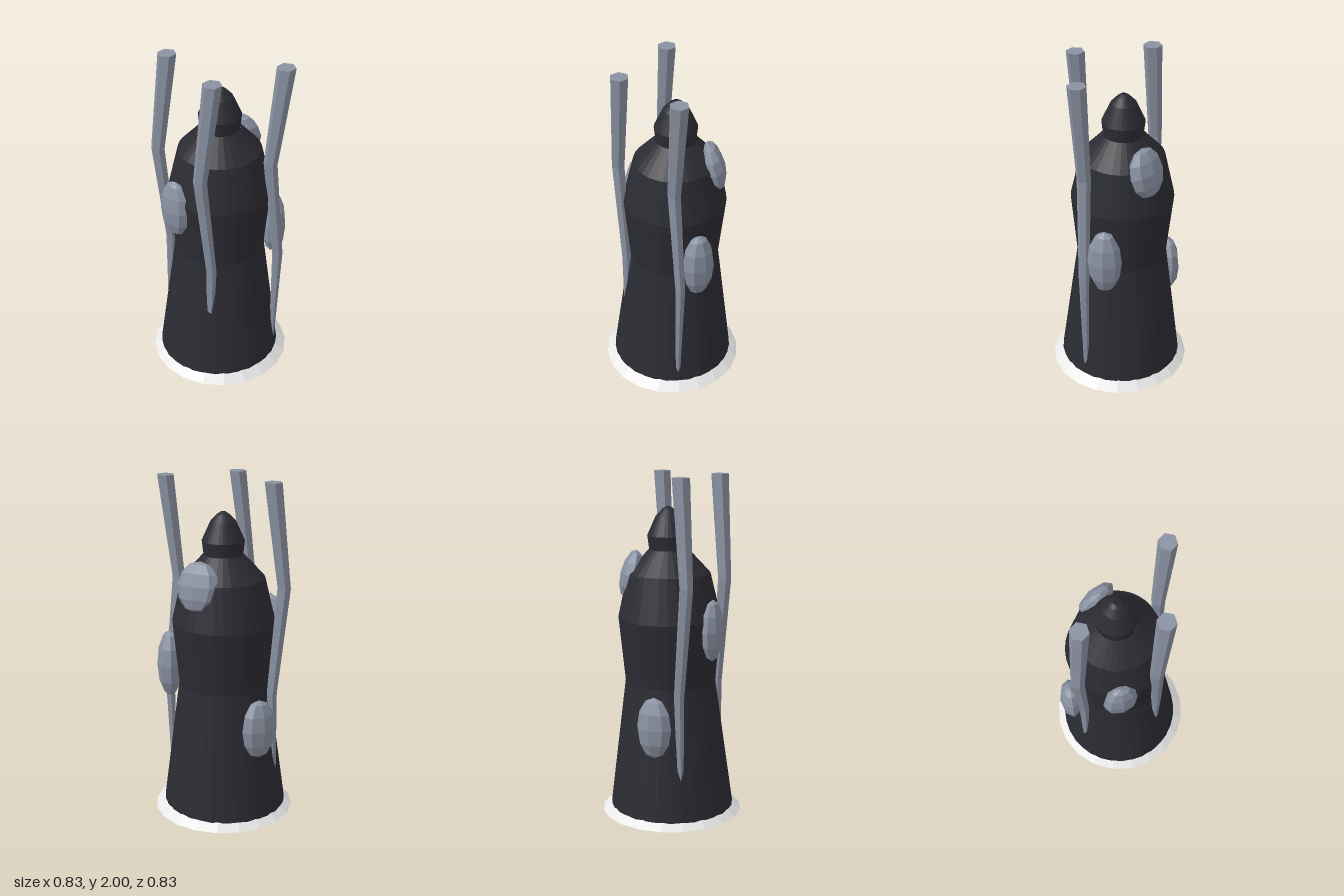
import * as THREE from 'three';

export function createModel() {
  const group = new THREE.Group();
  const make = (name, color) => {
    const m = new THREE.MeshStandardMaterial({ color, flatShading: true, side: THREE.DoubleSide });
    m.name = name;
    return m;
  };
  const dark = make('dark hull', 0x2b2b33);
  const grey = make('slate grey', 0x8a92a2);
  const pale = make('pale foam', 0xeaeaea);

  const add = (name, geometry, material) => {
    const mesh = new THREE.Mesh(geometry, material);
    mesh.name = name;
    group.add(mesh);
    return mesh;
  };

  // hollow, slightly back-leaning turned shell
  const turned = (name, profile) => {
    const geo = new THREE.LatheGeometry(profile.map(([r, y]) => new THREE.Vector2(r, y)), 32);
    const p = geo.attributes.position;
    for (let i = 0; i < p.count; i++) {
      p.setXYZ(i, p.getX(i) - 0.006, p.getY(i), p.getZ(i) - 0.0125 * p.getY(i));
    }
    geo.computeVertexNormals();
    add(name, geo, dark);
  };
  turned('body', [[0.369, 0.015], [0.265, 0.8], [0.3, 1.18], [0.24, 1.44], [0.115, 1.575]]);
  turned('head', [[0.112, 1.565], [0.123, 1.655], [0.073, 1.765], [0.035, 1.805], [0.012, 1.82]]);

  // shallow open cone of foam that the body stands in
  const foam = new THREE.ConeGeometry(0.417, 0.35, 20, 1, true);
  foam.translate(0, 0.175, 0);
  add('foamBase', foam, pale);

  // six-sided tentacles with two bends: [y, radius, x shift, z shift] from the top down
  const rings = [
    [2.0, 0.053, 0.033, 0.0],
    [1.4, 0.04, -0.033, 0.02],
    [0.77, 0.031, 0.02, -0.01],
    [0.06, 0.014, 0.004, 0.0],
  ];
  const tentacle = (name, x, z) => {
    const geo = new THREE.CylinderGeometry(1, 1, 3, 6, 3);
    geo.rotateY(Math.PI / 2);
    const p = geo.attributes.position;
    for (let i = 0; i < p.count; i++) {
      const [y, r, dx, dz] = rings[Math.round(1.5 - p.getY(i))];
      p.setXYZ(i, x + dx + r * p.getX(i), y, z + dz + r * p.getZ(i));
    }
    geo.computeVertexNormals();
    add(name, geo, grey);
  };
  tentacle('tentacleLeft', 0.33, 0);
  tentacle('tentacleRight', -0.33, 0);
  tentacle('tentacleFront', 0, 0.285);

  // flattened oval lumps: position, half sizes, outward direction (x, z), tilt
  const lumps = [
    ['lumpFront', [-0.212, 1.13, 0.2], [0.105, 0.18, 0.06], [-0.48, 0.88], 0],
    ['lumpLeft', [0.295, 0.905, -0.12], [0.1, 0.205, 0.075], [0.87, -0.5], 0],
    ['lumpBack', [0.058, 1.425, -0.232], [0.13, 0.146, 0.062], [0.05, -1], -0.25],
    ['lumpRight', [-0.285, 0.59, -0.15], [0.11, 0.18, 0.07], [-0.8, -0.6], 0],
  ];
  for (const [name, pos, size, [nx, nz], tilt] of lumps) {
    const lump = add(name, new THREE.SphereGeometry(1, 8, 6), grey);
    lump.position.set(...pos);
    lump.scale.set(...size);
    lump.rotation.set(tilt, Math.atan2(nx, nz), 0, 'YXZ');
  }
  return group;
}
